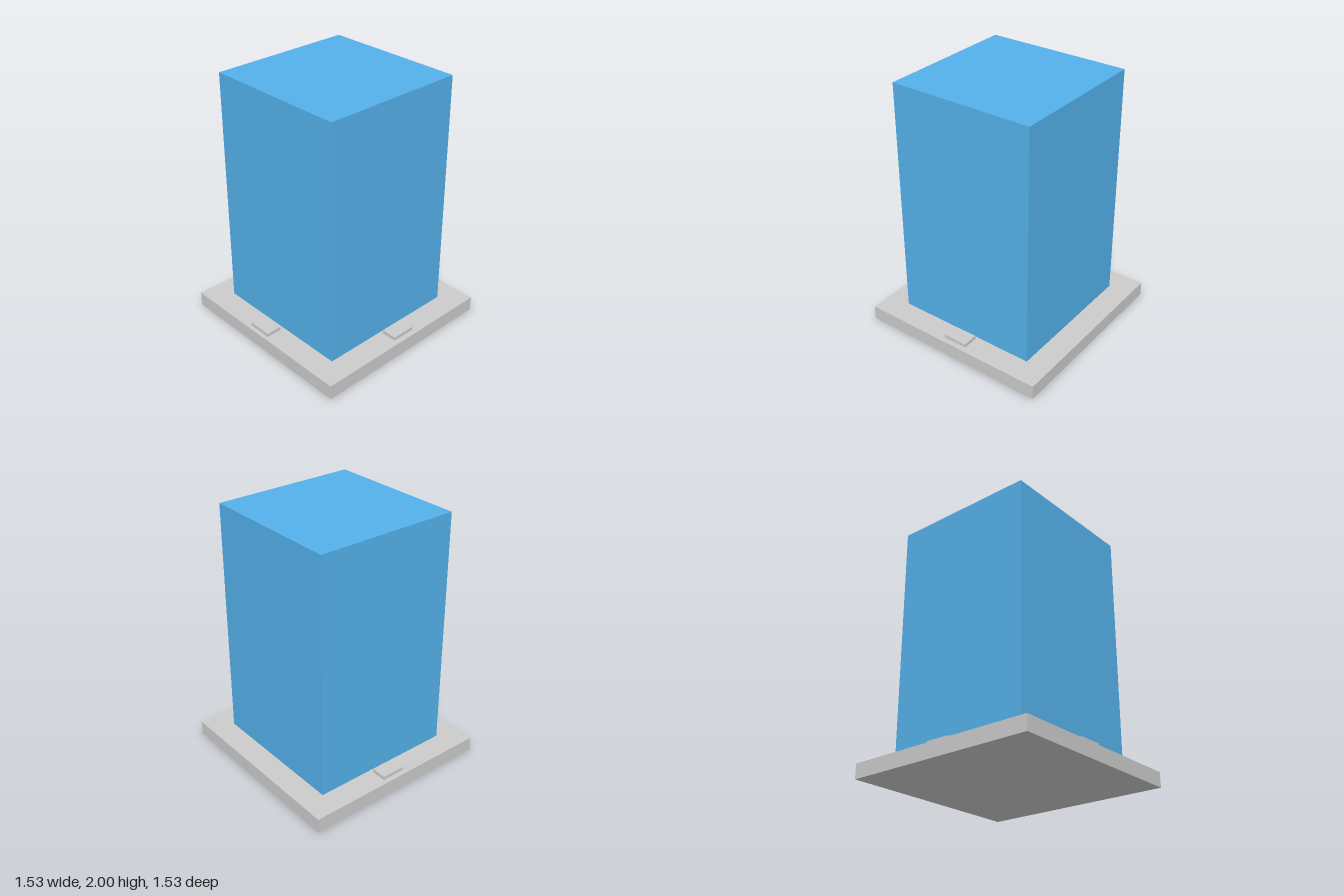
import * as THREE from 'three';

export function createModel() {
  const group = new THREE.Group();
  const grey = new THREE.MeshStandardMaterial({ color: 0xcccccc });
  const blue = new THREE.MeshStandardMaterial({ color: 0x54b1ea });

  // Box standing on height y, centred on x and z
  function addBox(name, material, [w, h, d], [x, y, z]) {
    const mesh = new THREE.Mesh(new THREE.BoxGeometry(w, h, d), material);
    mesh.name = name;
    mesh.position.set(x, y + h / 2, z);
    group.add(mesh);
  }

  const baseHeight = 0.115;
  const padHeight = 0.028;

  // Square plinth and the tower on it
  addBox('base', grey, [1.526, baseHeight, 1.526], [0, 0, 0]);
  addBox('tower', blue, [1.148, 2 - baseHeight, 1.148], [0, baseHeight, 0]);

  // Low pads on the plinth: one on each side and one in front
  addBox('leftPad', grey, [0.123, padHeight, 0.192], [0.659, baseHeight, -0.022]);
  addBox('rightPad', grey, [0.123, padHeight, 0.192], [-0.663, baseHeight, -0.022]);
  addBox('frontPad', grey, [0.192, padHeight, 0.123], [-0.055, baseHeight, 0.671]);

  return group;
}
